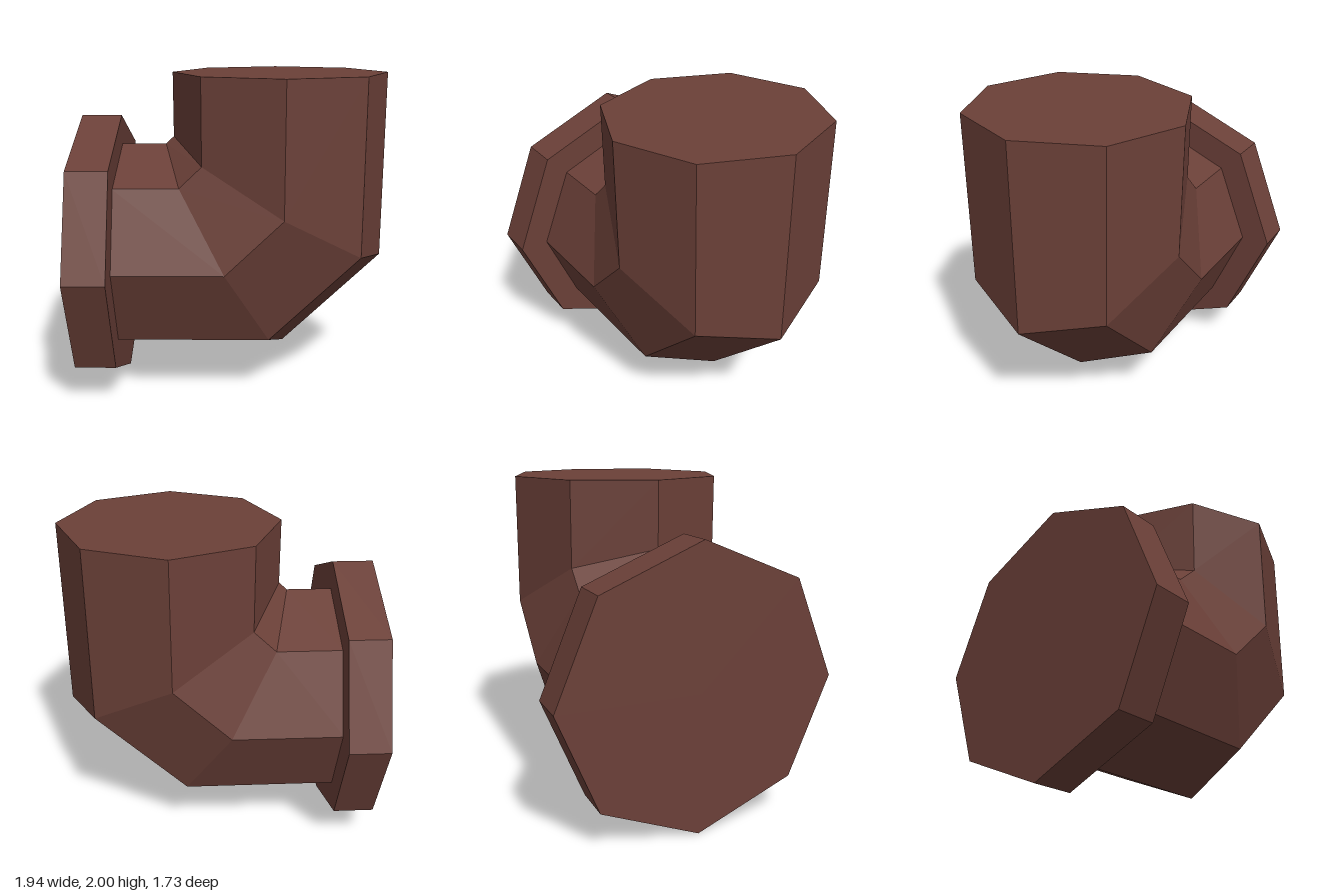
import * as THREE from 'three';

const SIDES = 8;
const R = 0.68;

// One octagonal cross-section: centre (cx, cy), offset (kx, ky) towards the inside of the bend
function ring(cx, cy, kx, ky) {
  return Array.from({ length: SIDES }, (_, i) => {
    const a = (i / SIDES) * Math.PI * 2;
    const c = Math.cos(a);
    return [cx + kx * c, cy + ky * c, R * Math.sin(a)];
  });
}

export function createModel() {
  const group = new THREE.Group();
  const brown = new THREE.MeshStandardMaterial({ color: 0x6b4038 });
  brown.flatShading = true;

  // Elbow: sections from the flange, through two mitred joints, to the top
  const rings = [
    ring(-0.73, 0.865, 0, R),
    ring(-0.056, 0.865, -0.385, R),
    ring(0.29, 1.197, -R, 0.395),
    ring(0.29, 2, -R, 0),
  ];
  const pos = [];
  for (let r = 0; r < rings.length - 1; r++) {
    for (let i = 0; i < SIDES; i++) {
      const j = (i + 1) % SIDES;
      const a = rings[r][i], b = rings[r][j], c = rings[r + 1][j], d = rings[r + 1][i];
      pos.push(...a, ...b, ...c, ...a, ...c, ...d);
    }
  }
  // Flat cap on the upper end
  const top = rings[rings.length - 1];
  for (let i = 1; i < SIDES - 1; i++) pos.push(...top[0], ...top[i], ...top[i + 1]);

  const elbowGeo = new THREE.BufferGeometry();
  elbowGeo.setAttribute('position', new THREE.Float32BufferAttribute(pos, 3));
  elbowGeo.computeVertexNormals();
  const elbow = new THREE.Mesh(elbowGeo, brown);
  elbow.name = 'elbowPipe';
  group.add(elbow);

  // Flange: wider octagonal collar on the side opening
  const flangeGeo = new THREE.CylinderGeometry(0.863, 0.863, 0.252, SIDES);
  flangeGeo.rotateZ(Math.PI / 2);
  const flange = new THREE.Mesh(flangeGeo, brown);
  flange.name = 'flange';
  flange.position.set(-0.848, 0.864, 0);
  group.add(flange);

  return group;
}
